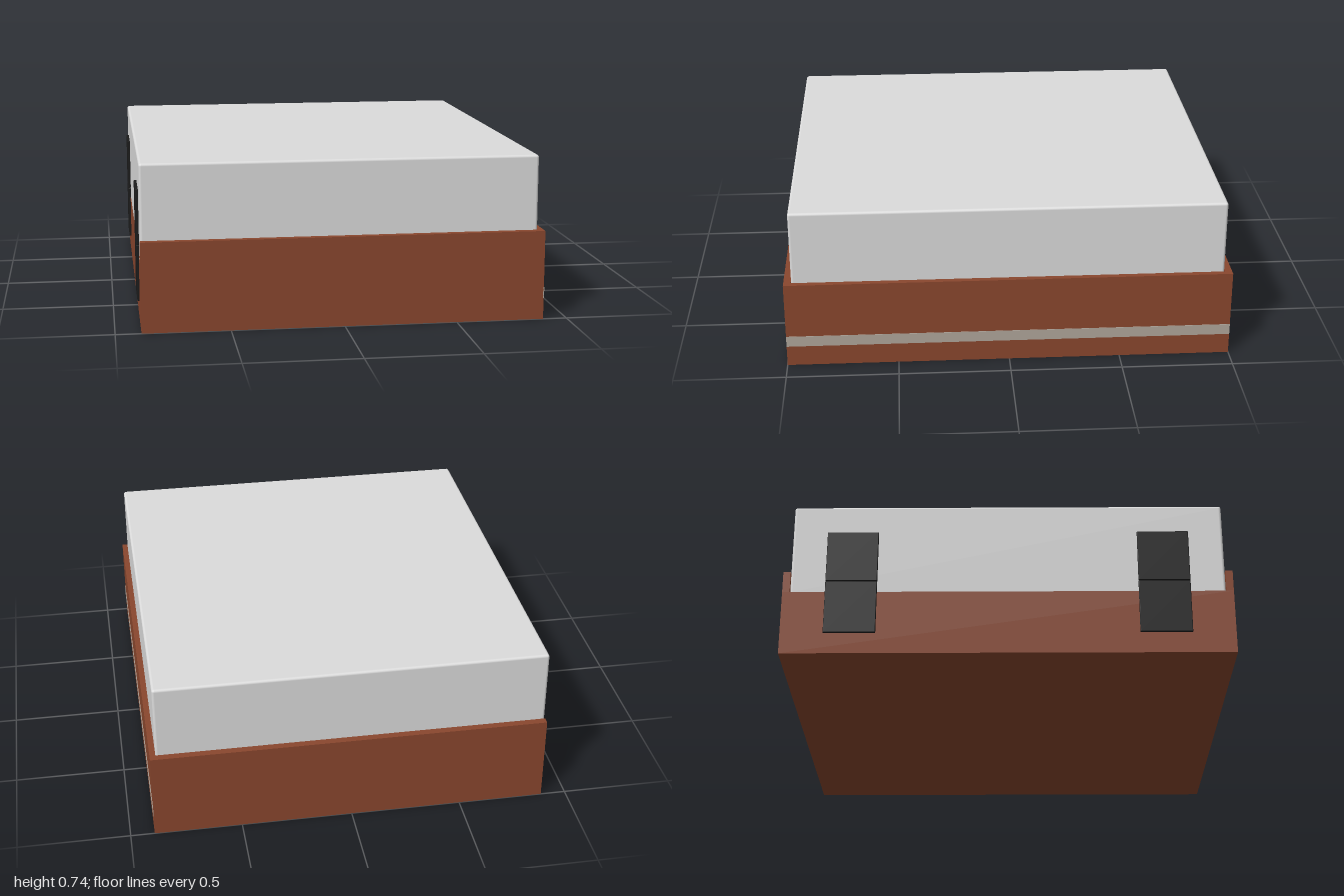
import * as THREE from 'three';
import { RoundedBoxGeometry } from 'three/addons/geometries/RoundedBoxGeometry.js';

function material(name, color) {
  const m = new THREE.MeshStandardMaterial({ color });
  m.name = name;
  return m;
}

export function createModel() {
  const model = new THREE.Group();
  model.name = 'hingedBox';
  const brown = material('brown', 0x8a472e);
  const white = material('white', 0xdcdcdc);
  const stripeGrey = material('stripe grey', 0xb0a69b);
  const black = material('black', 0x1b1b1b);

  // Box given by its extents on each axis; a radius rounds its edges
  function block(name, mat, [x0, x1], [y0, y1], [z0, z1], parent, radius = 0) {
    const size = [x1 - x0, y1 - y0, z1 - z0];
    const geometry = radius
      ? new RoundedBoxGeometry(...size, 3, radius)
      : new THREE.BoxGeometry(...size);
    const mesh = new THREE.Mesh(geometry, mat);
    mesh.name = name;
    mesh.position.set((x0 + x1) / 2, (y0 + y1) / 2, (z0 + z1) / 2);
    parent.add(mesh);
    return mesh;
  }

  // Base: a solid lower block with a rim on three sides, lower at the hinge side
  const base = new THREE.Group();
  base.name = 'base';
  model.add(base);
  block('baseBody', brown, [-0.887, 0.893], [0, 0.3], [-1, 1], base);
  block('frontRim', brown, [-0.887, 0.893], [0.3, 0.4], [0.967, 1], base);
  block('backRim', brown, [-0.887, 0.893], [0.3, 0.4], [-1, -0.967], base);
  block('sideRim', brown, [0.867, 0.893], [0.3, 0.4], [-0.967, 0.967], base);

  // Stripe along the side opposite the hinges
  block('stripe', stripeGrey, [0.89, 0.895], [0.095, 0.145], [-1, 1], model);

  // Lid sits inside the rim, with slightly softened edges
  block('lid', white, [-0.885, 0.867], [0.29, 0.735], [-0.966, 0.966], model, 0.012);

  // Two hinges, each with an upper and a lower leaf
  for (const side of [-1, 1]) {
    const hinge = new THREE.Group();
    hinge.name = side > 0 ? 'frontHinge' : 'backHinge';
    model.add(hinge);
    const z = [side * 0.695 - 0.115, side * 0.695 + 0.115];
    block('upperLeaf', black, [-0.897, -0.88], [0.352, 0.598], z, hinge, 0.003);
    block('lowerLeaf', black, [-0.897, -0.88], [0.097, 0.348], z, hinge, 0.003);
  }

  return model;
}
